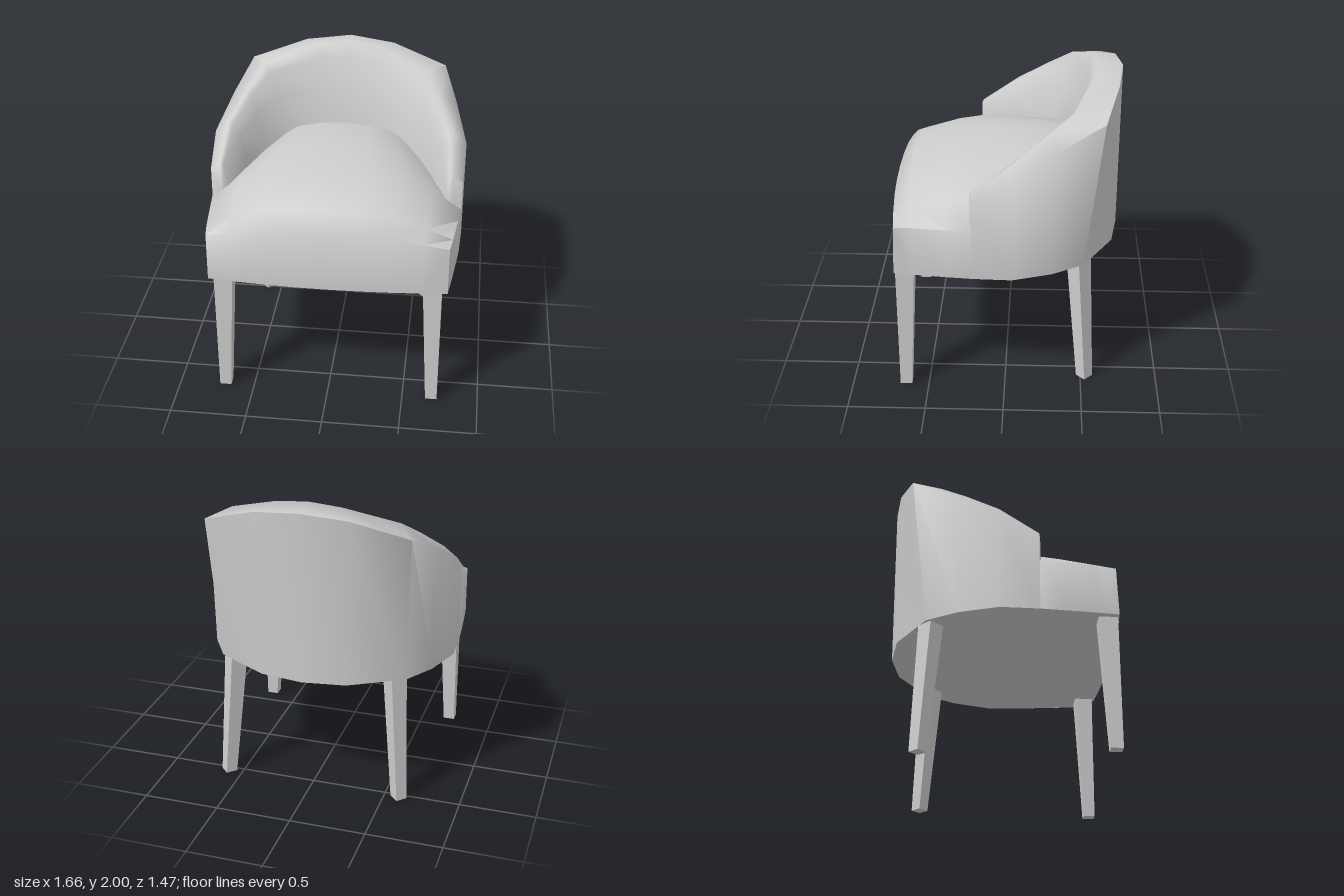
import * as THREE from 'three';
import { toCreasedNormals } from 'three/addons/utils/BufferGeometryUtils.js';

const BASE = 0.86;

// Skin a list of equal-length cross-sections of [x, y, z] points.
function loft(sections, crease) {
  const n = sections[0].length;
  const index = [];
  for (let i = 0; i < sections.length - 1; i++) {
    for (let j = 0; j < n - 1; j++) {
      const a = i * n + j, b = a + n;
      index.push(a, b, a + 1, b, b + 1, a + 1);
    }
  }
  const geometry = new THREE.BufferGeometry();
  geometry.setAttribute('position', new THREE.Float32BufferAttribute(sections.flat(2), 3));
  geometry.setIndex(index);
  return toCreasedNormals(geometry, crease);
}

// Wraparound back: each station holds outer base, outer rim, inner rim, padding and seat joint.
const stations = [
  { base: [0, -0.73], rim: [0, 1.98, -0.735], inner: [0, 2.0, -0.56], pad: [0, 1.72, -0.46], joint: [0, 1.49, -0.36] },
  { base: [0.28, -0.69], rim: [0.3, 1.95, -0.7], inner: [0.21, 1.98, -0.55], pad: [0.22, 1.7, -0.44], joint: [0.22, 1.47, -0.34] },
  { base: [0.62, -0.5], rim: [0.66, 1.84, -0.61], inner: [0.55, 1.87, -0.42], pad: [0.46, 1.66, -0.37], joint: [0.4, 1.44, -0.29] },
  { base: [0.745, -0.3], rim: [0.75, 1.7, -0.33], inner: [0.64, 1.76, -0.26], pad: [0.58, 1.6, -0.21], joint: [0.53, 1.41, -0.15] },
  { base: [0.83, -0.05], rim: [0.83, 1.54, -0.05], inner: [0.74, 1.61, -0.05], pad: [0.67, 1.5, -0.04], joint: [0.62, 1.37, 0] },
  { base: [0.82, 0.2], rim: [0.82, 1.39, 0.2], inner: [0.76, 1.43, 0.2], pad: [0.71, 1.31, 0.205], joint: [0.69, 1.15, 0.21] },
];

function backSection({ base, rim, inner, pad, joint }, side) {
  // Rounded shoulder between the inner rim and the padding.
  const shoulder = inner.map((v, k) => v + (pad[k] - v) * 0.4);
  shoulder[1] += 0.03;
  shoulder[2] += 0.01;
  return [[base[0], BASE, base[1]], rim, inner, shoulder, pad, joint, [joint[0], BASE, joint[2]]]
    .map(([x, y, z]) => [x * side, y, z]);
}

function backGeometry() {
  const left = stations.slice().reverse().map((s) => backSection(s, 1));
  const right = stations.slice(1).map((s) => backSection(s, -1));
  const sections = [...left, ...right];
  // Close the arm fronts by shrinking a section to one point.
  const armCap = (side) => sections[0].map(() => [0.75 * side, 1.15, 0.215]);
  return loft([armCap(1), ...sections, armCap(-1)], 1.3);
}

// Domed seat: rows of [z, half width, centre height, edge height, base half width].
function seatGeometry() {
  const rows = [
    [-0.48, 0.45, 1.46, 1.3, 0.45],
    [-0.3, 0.6, 1.51, 1.25, 0.6],
    [0, 0.74, 1.5, 1.2, 0.74],
    [0.2, 0.82, 1.48, 1.19, 0.82],
    [0.35, 0.805, 1.455, 1.19, 0.805],
    [0.58, 0.78, 1.365, 1.19, 0.78],
    [0.685, 0.765, 1.25, 1.18, 0.765],
    [0.695, 0.765, BASE, BASE, 0.765],
  ];
  const columns = [[0, 0], [0.28, 0.04], [0.54, 0.15], [0.78, 0.53], [1, 1]];
  const across = [
    ...columns.slice(1).reverse().map(([u, f]) => [-u, f]),
    ...columns,
  ];
  const sections = rows.map(([z, w, top, edge, wb]) => {
    const bow = z > 0.5 ? 0.04 : 0;
    const points = across.map(([u, f]) => [u * w, top + (edge - top) * f, z + bow * (1 - u * u)]);
    return [[-wb, BASE, z], ...points, [wb, BASE, z]];
  });
  return loft(sections, 1.1);
}

// Flat underside following the outer walls.
function undersideGeometry() {
  const half = [...stations.map((s) => s.base), [0.765, 0.695], [0.41, 0.723], [0, 0.735]];
  const mirrored = half.slice(1, -1).reverse().map(([x, z]) => [-x, z]);
  const shape = new THREE.Shape([...half, ...mirrored].map(([x, z]) => new THREE.Vector2(x, z)));
  return new THREE.ShapeGeometry(shape).rotateX(Math.PI / 2).translate(0, BASE, 0);
}

// Square tapered leg leaning from its top centre to its foot centre.
function legGeometry(top, foot, rTop, rFoot, turn) {
  const height = BASE + 0.005;
  const geometry = new THREE.CylinderGeometry(rTop, rFoot, height, 4).toNonIndexed();
  geometry.rotateY(turn).translate(0, height / 2, 0);
  const p = geometry.attributes.position;
  for (let i = 0; i < p.count; i++) {
    const t = p.getY(i) / height;
    p.setX(i, p.getX(i) + foot[0] + (top[0] - foot[0]) * t);
    p.setZ(i, p.getZ(i) + foot[1] + (top[1] - foot[1]) * t);
  }
  geometry.computeVertexNormals();
  return geometry;
}

export function createModel() {
  const group = new THREE.Group();
  const upholstery = new THREE.MeshStandardMaterial({ color: 0xcccccc, side: THREE.DoubleSide });
  const legMaterial = new THREE.MeshStandardMaterial({ color: 0xcccccc, flatShading: true });
  const add = (name, geometry, material) => {
    const mesh = new THREE.Mesh(geometry, material);
    mesh.name = name;
    group.add(mesh);
  };

  add('backAndArms', backGeometry(), upholstery);
  add('seat', seatGeometry(), upholstery);
  add('underside', undersideGeometry(), upholstery);

  // Legs: square at the front, turned cornerwise and splayed at the back.
  for (const [label, s] of [['Left', 1], ['Right', -1]]) {
    add(`front${label}Leg`, legGeometry([s * 0.67, 0.63], [s * 0.693, 0.65], 0.085, 0.054, Math.PI / 4), legMaterial);
    add(`back${label}Leg`, legGeometry([s * 0.54, -0.47], [s * 0.597, -0.527], 0.078, 0.054, 0), legMaterial);
  }
  return group;
}
